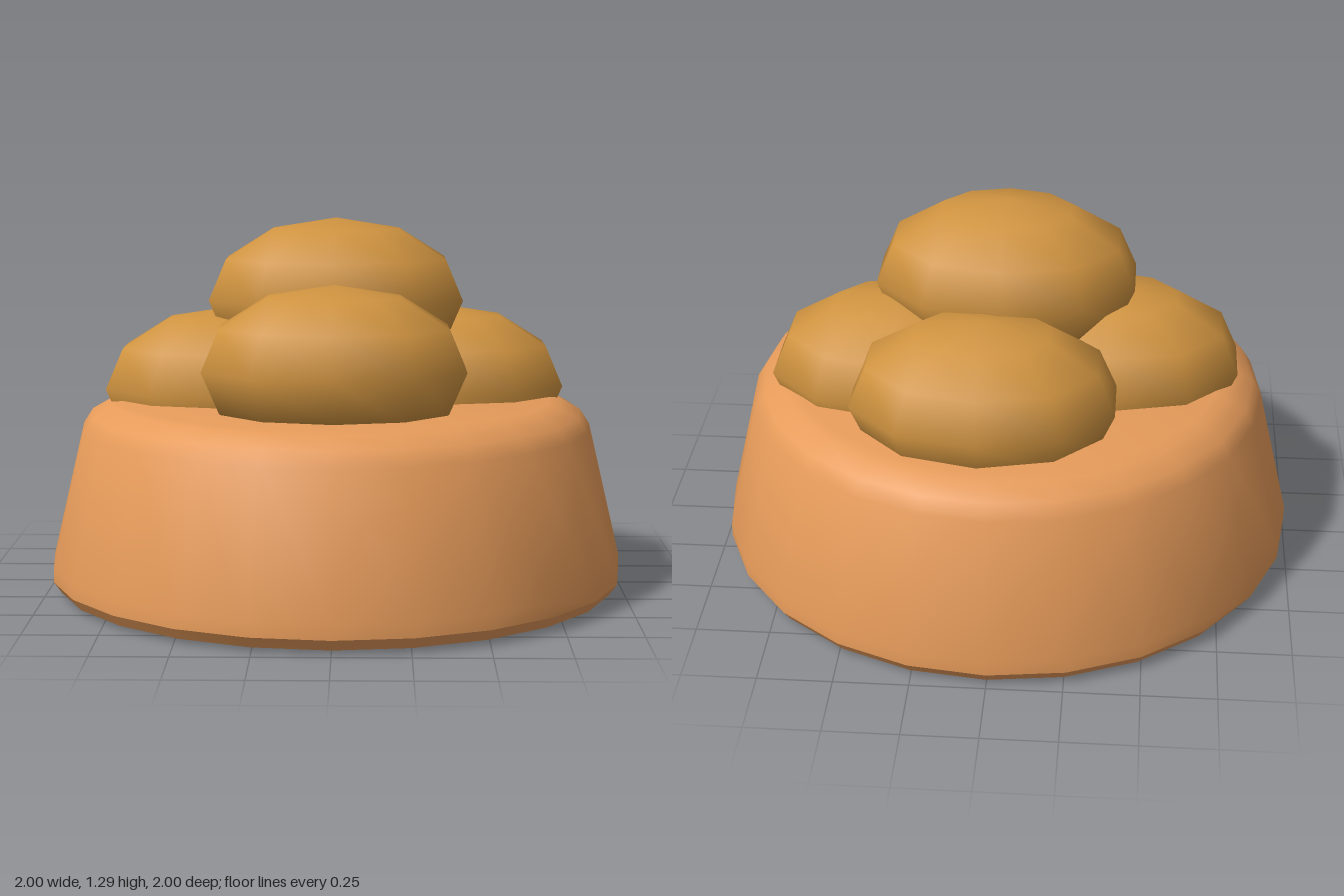
import * as THREE from 'three';
import { toCreasedNormals } from 'three/addons/utils/BufferGeometryUtils.js';

export function createModel() {
  const model = new THREE.Group();
  model.name = 'filledBowl';

  // Tapered bowl with a bevelled foot and a rounded, filled top
  const profile = [
    [0, 0], [0.91, 0], [0.973, 0.015], [1, 0.053], [1, 0.1],
    [0.888, 0.57], [0.856, 0.62], [0.79, 0.657], [0.75, 0.667], [0, 0.667],
  ].map(([r, y]) => new THREE.Vector2(r, y));
  const bowl = new THREE.Mesh(
    toCreasedNormals(new THREE.LatheGeometry(profile, 24), 0.58),
    new THREE.MeshStandardMaterial({ color: 0xe69b5a }),
  );
  bowl.name = 'bowl';
  model.add(bowl);

  // Low-poly oval food pieces, all sharing one shape
  const pieceGeometry = new THREE.SphereGeometry(1, 10, 6);
  pieceGeometry.rotateY(Math.PI / 2);
  pieceGeometry.scale(0.46, 0.28, 0.335);
  const pieceMaterial = new THREE.MeshStandardMaterial({ color: 0xcf9340 });
  const pieces = {
    topPiece: [0, 1.01, -0.01],
    frontPiece: [0, 0.81, 0.36],
    backPiece: [0.05, 0.757, -0.42],
    leftPiece: [0.355, 0.7, -0.11],
    rightPiece: [-0.36, 0.7, -0.01],
  };
  for (const [name, position] of Object.entries(pieces)) {
    const piece = new THREE.Mesh(pieceGeometry, pieceMaterial);
    piece.name = name;
    piece.position.set(...position);
    model.add(piece);
  }

  return model;
}
